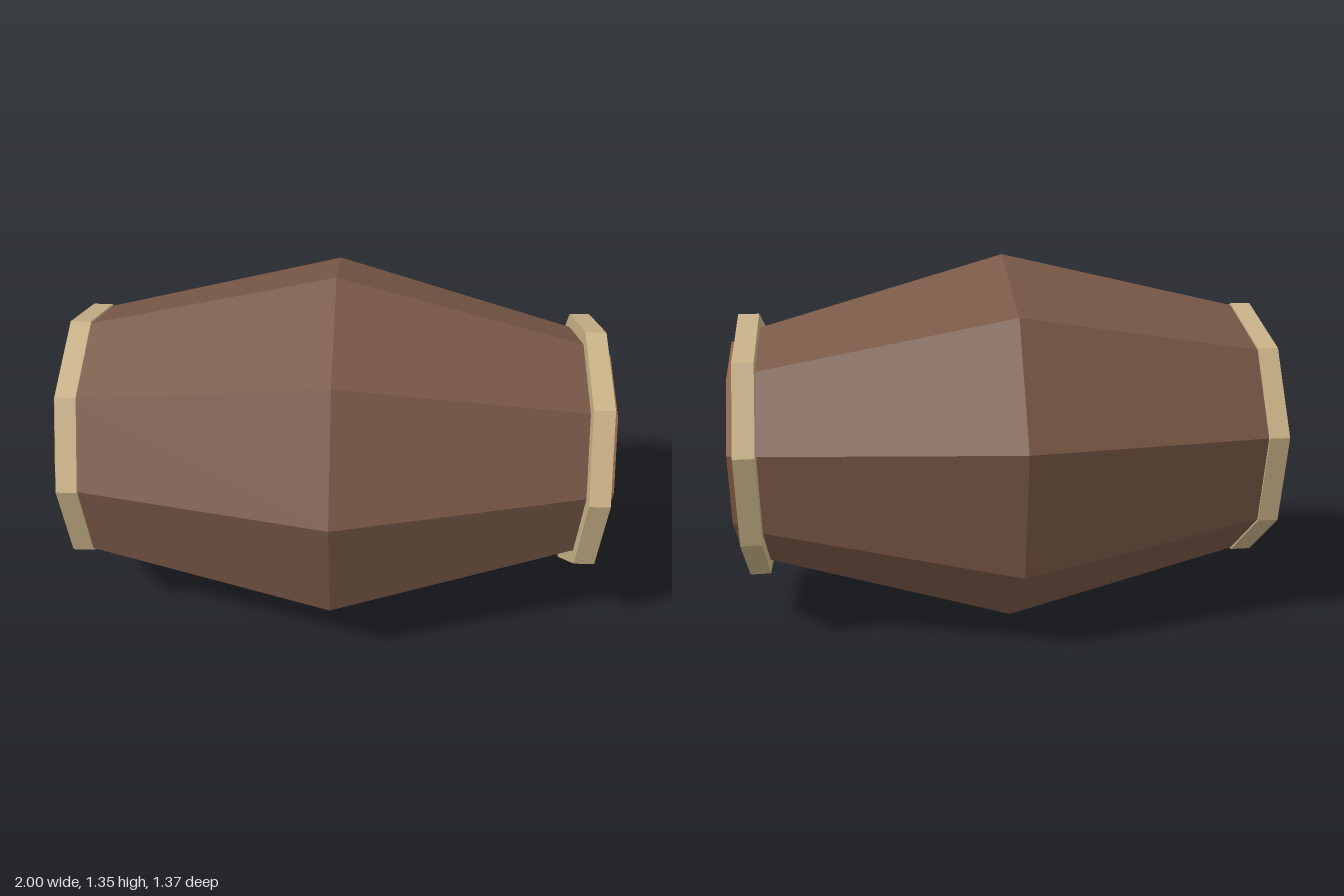
import * as THREE from 'three';

const SIDES = 9;
const CENTER_Y = 0.655;

function material(name, color) {
  const m = new THREE.MeshStandardMaterial({ color, flatShading: true });
  m.name = name;
  return m;
}

// Nine-sided section lying along x from x0 to x1, with a corner pointing up
function section(name, x0, x1, r0, r1, mat, open = false) {
  const geo = new THREE.CylinderGeometry(r1, r0, x1 - x0, SIDES, 1, open);
  geo.rotateZ(-Math.PI / 2).rotateX(-Math.PI / 2);
  const mesh = new THREE.Mesh(geo, mat);
  mesh.name = name;
  mesh.position.set((x0 + x1) / 2, CENTER_Y, 0);
  return mesh;
}

export function createModel() {
  const wood = material('darkWood', 0x795847);
  const hoop = material('paleHoop', 0xc8b187);
  const lid = material('lidWood', 0x946649);

  const barrel = new THREE.Group();
  barrel.name = 'barrel';

  // Bulging body, a little narrower at the +x end
  barrel.add(section('bodyRightHalf', -0.95, 0, 0.472, 0.695, wood, true));
  barrel.add(section('bodyLeftHalf', 0, 0.95, 0.695, 0.425, wood, true));

  // Hoops and slightly raised lids at both ends
  for (const [side, s] of [['left', 1], ['right', -1]]) {
    const span = (a, b) => (s > 0 ? [a, b] : [-b, -a]);
    barrel.add(section(side + 'Hoop', ...span(0.895, 0.97), 0.492, 0.492, hoop));
    barrel.add(section(side + 'Lid', ...span(0.93, 1), 0.391, 0.391, lid));
  }
  return barrel;
}
